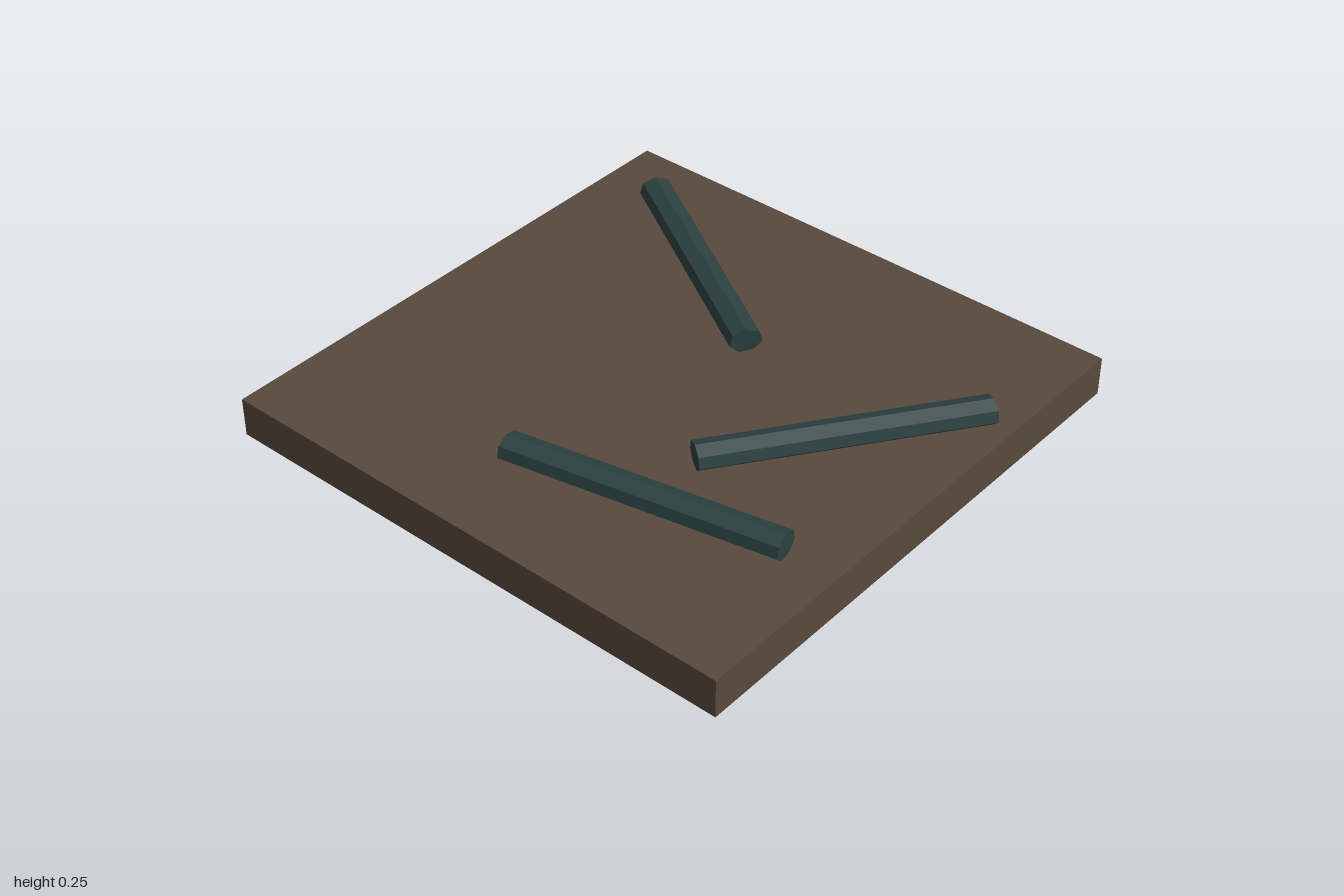
import * as THREE from 'three';

export function createModel() {
  const model = new THREE.Group();
  const earth = new THREE.MeshStandardMaterial({ color: 0x59493d, flatShading: true });
  const wood = new THREE.MeshStandardMaterial({ color: 0x2b4040, flatShading: true });

  // Square ground slab
  const slabHeight = 0.144;
  const slab = new THREE.Mesh(new THREE.BoxGeometry(2, slabHeight, 2), earth);
  slab.name = 'groundSlab';
  slab.position.y = slabHeight / 2;
  model.add(slab);

  // Flattened seven-sided log along z, ridge up
  const logGeometry = new THREE.CylinderGeometry(0.06, 0.06, 0.98, 7);
  logGeometry.rotateX(-Math.PI / 2);
  logGeometry.scale(1, 0.74, 1);

  // Scattered logs hovering just above the slab: start and end points as [x, z]
  const logs = [
    ['leftBackLog', [-0.67, -0.125], [-0.478, 0.835]],
    ['frontLog', [-0.33, 0.355], [0.468, 0.925]],
    ['rightBackLog', [0.75, -0.74], [0.243, 0.093]],
  ];
  for (const [name, [x0, z0], [x1, z1]] of logs) {
    const log = new THREE.Mesh(logGeometry, wood);
    log.name = name;
    log.position.set((x0 + x1) / 2, 0.209, (z0 + z1) / 2);
    log.rotation.y = Math.atan2(x1 - x0, z1 - z0);
    model.add(log);
  }
  return model;
}
